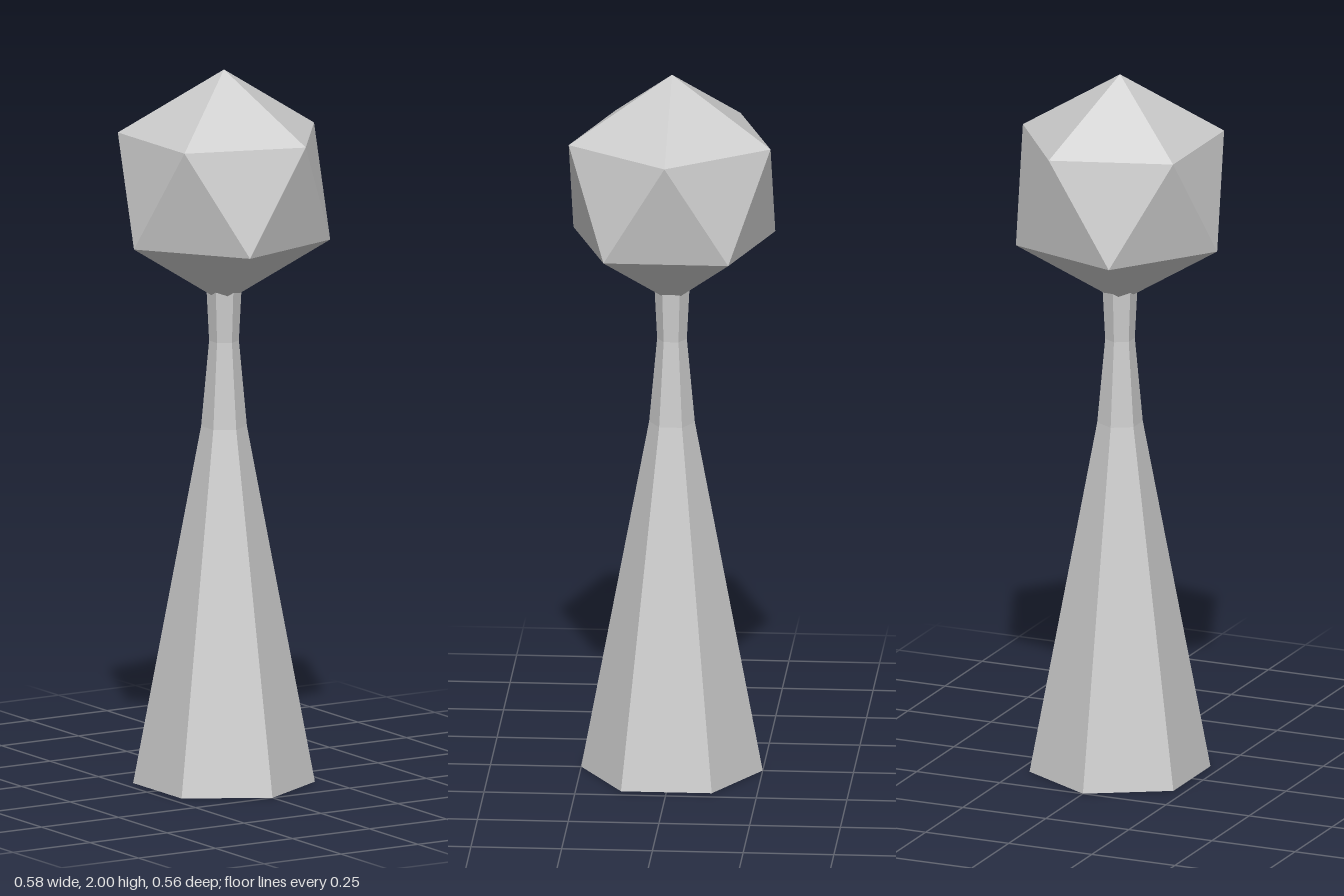
import * as THREE from 'three';

export function createModel() {
  const model = new THREE.Group();
  const solid = new THREE.MeshStandardMaterial({ color: 0xcccccc, flatShading: true });
  const shell = solid.clone();
  shell.side = THREE.DoubleSide;

  // Six-sided tapering stem, hollow and open at the foot
  const profile = [[0.25, 0], [0.063, 1.0], [0.041, 1.24], [0.049, 1.4]]
    .map(([r, y]) => new THREE.Vector2(r, y));
  const stem = new THREE.Mesh(new THREE.LatheGeometry(profile, 6), shell);
  stem.name = 'stem';
  model.add(stem);

  // Twenty-sided head, turned so that one corner points straight up
  const radius = 0.327;
  const golden = (1 + Math.sqrt(5)) / 2;
  const headGeometry = new THREE.IcosahedronGeometry(radius, 0);
  headGeometry.rotateZ(-Math.atan(1 / golden));
  const head = new THREE.Mesh(headGeometry, solid);
  head.name = 'head';
  head.position.y = 2 - radius;
  model.add(head);

  return model;
}
